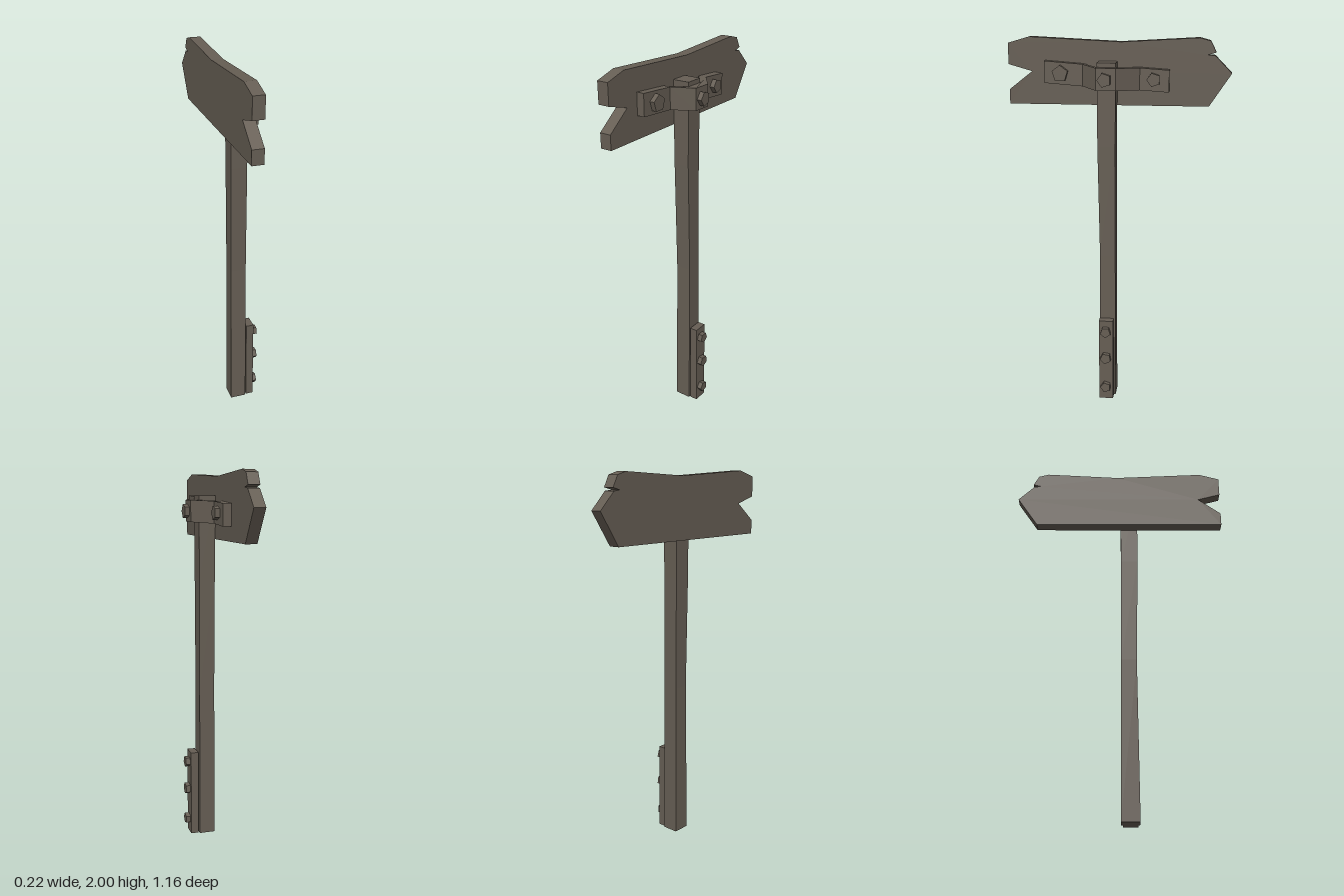
import * as THREE from 'three';

const wood = new THREE.MeshStandardMaterial({ color: 0x665e54, flatShading: true });
wood.name = 'weathered grey brown';

export function createModel() {
  const group = new THREE.Group();
  group.name = 'signpost';

  const add = (name, geometry) => {
    const mesh = new THREE.Mesh(geometry, wood);
    mesh.name = name;
    group.add(mesh);
    return mesh;
  };
  const extrude = (points, depth) => new THREE.ExtrudeGeometry(
    new THREE.Shape(points.map(([a, b]) => new THREE.Vector2(a, b))),
    { depth, bevelEnabled: false });

  // Arrow-shaped board with a split tail, outline as [z, y]
  const outline = [
    [0.58, 1.655], [-0.465, 1.655], [-0.577, 1.825], [-0.49, 1.912], [-0.45, 1.916],
    [-0.495, 1.928], [-0.465, 1.985], [-0.41, 2.0], [-0.01, 1.977], [0.47, 2.0],
    [0.58, 1.968], [0.58, 1.86], [0.456, 1.825], [0.58, 1.73],
  ];
  const board = extrude(outline.map(([z, y]) => [-z, y]), 0.06);
  board.rotateY(Math.PI / 2).translate(-0.11, 0, 0);
  add('arrowBoard', board);

  // Slightly uneven square post: each ring is [y, x0, x1, z0, z1]
  const rings = [
    [0, -0.05, 0.037, 0.01, 0.105],
    [0.85, -0.046, 0.037, 0.012, 0.095],
    [1.45, -0.048, 0.037, 0.012, 0.105],
    [1.88, -0.05, 0.04, 0.008, 0.105],
  ];
  const post = new THREE.BoxGeometry(1, 3, 1, 1, 3, 1);
  const pp = post.attributes.position;
  for (let i = 0; i < pp.count; i++) {
    const [y, x0, x1, z0, z1] = rings[Math.round(pp.getY(i) + 1.5)];
    pp.setXYZ(i, pp.getX(i) < 0 ? x0 : x1, y, pp.getZ(i) < 0 ? z0 : z1);
  }
  post.computeVertexNormals();
  add('post', post);

  // Bent strap around the post, plan as [x, z]
  const plan = [
    [-0.005, -0.26], [-0.005, -0.11], [0.085, 0.005], [0.085, 0.105],
    [-0.01, 0.185], [-0.01, 0.385], [-0.05, 0.385], [-0.05, 0.185],
    [0.04, 0.105], [0.04, 0.005], [-0.05, -0.11], [-0.05, -0.26],
  ];
  const strap = extrude(plan.map(([x, z]) => [x, -z]), 0.112);
  strap.rotateX(-Math.PI / 2);
  // The strap climbs gently towards its tail end
  const climb = [[-0.26, 1.73], [-0.11, 1.74], [0.005, 1.745], [0.105, 1.746], [0.185, 1.755], [0.385, 1.77]];
  const sp = strap.attributes.position;
  for (let i = 0; i < sp.count; i++) {
    const z = sp.getZ(i);
    const level = climb.find(([cz]) => Math.abs(cz - z) < 0.001);
    sp.setY(i, sp.getY(i) + level[1]);
  }
  strap.computeVertexNormals();
  add('strap', strap);

  // Plate at the foot of the post
  add('footPlate', new THREE.BoxGeometry(0.042, 0.48, 0.078)).position.set(0.064, 0.24, 0.059);

  // Five-sided bolt heads: [name, x, y, z, radius, spin]
  const up = -Math.PI / 2;
  const bolts = [
    ['strapBoltTail', -0.01, 1.82, 0.3, 0.043, up],
    ['strapBoltMiddle', 0.085, 1.8, 0.06, 0.037, 0],
    ['strapBoltTip', -0.005, 1.795, -0.182, 0.036, 0],
    ['footBoltTop', 0.085, 0.42, 0.06, 0.03, 0.3],
    ['footBoltMiddle', 0.085, 0.26, 0.06, 0.032, 0.15],
    ['footBoltBottom', 0.085, 0.08, 0.06, 0.03, 0],
  ];
  for (const [name, x, y, z, r, spin] of bolts) {
    const head = new THREE.CylinderGeometry(r, r, 0.026, 5);
    head.rotateZ(-Math.PI / 2).rotateX(spin);
    add(name, head).position.set(x + 0.012, y, z);
  }

  return group;
}
